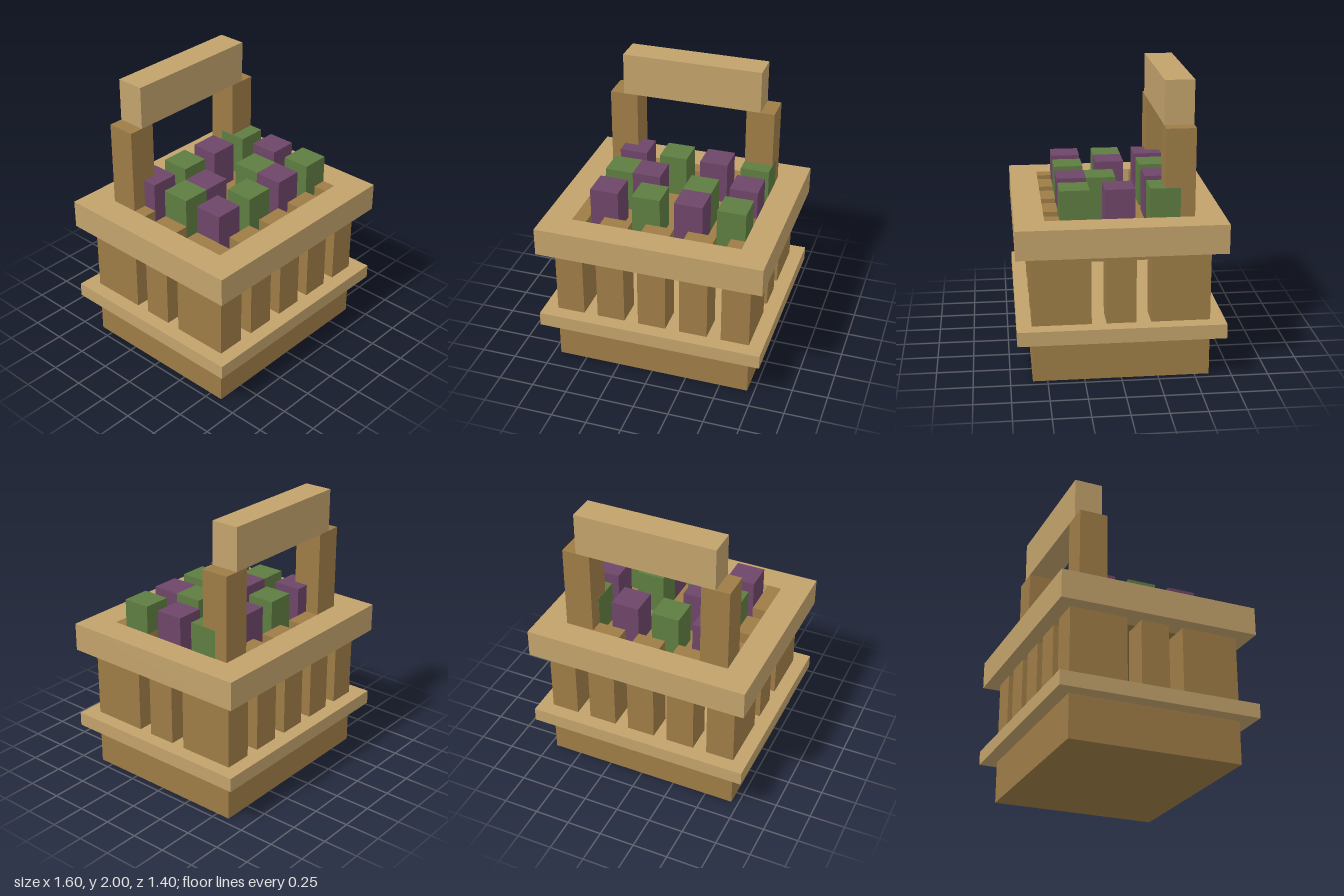
import * as THREE from 'three';

const material = (name, color) => {
  const m = new THREE.MeshStandardMaterial({ color });
  m.name = name;
  return m;
};

export function createModel() {
  const tan = material('light wood', 0xc2a26b);
  const brown = material('dark wood', 0x9e7c46);
  const purple = material('purple fruit', 0x6e4668);
  const green = material('green fruit', 0x5e7d41);
  const model = new THREE.Group();
  model.name = 'basket';

  // box from its minimum and maximum corners
  const box = (name, mat, [x0, y0, z0], [x1, y1, z1]) => {
    const mesh = new THREE.Mesh(new THREE.BoxGeometry(x1 - x0, y1 - y0, z1 - z0), mat);
    mesh.position.set((x0 + x1) / 2, (y0 + y1) / 2, (z0 + z1) / 2);
    mesh.name = name;
    model.add(mesh);
  };

  // solid foot and the band around it
  box('base', brown, [-0.7, 0, -0.6], [0.7, 0.3, 0.6]);
  box('lowerBand', tan, [-0.8, 0.3, -0.7], [0.8, 0.4, 0.7]);

  // slats: tops sit just under the rim surface
  const top = 1.098;
  for (const s of [-1, 1]) {
    const z = s * 0.5;
    for (const x of [-0.6, -0.3, 0, 0.3, 0.6]) {
      box('slat', brown, [x - 0.1, 0.4, z - 0.1], [x + 0.1, top, z + 0.1]);
    }
    const x = s * 0.6;
    for (const zc of [-0.3, 0, 0.3]) {
      box('sideSlat', brown, [x - 0.1, 0.4, zc - 0.1], [x + 0.1, top, zc + 0.1]);
    }
  }

  // inner tray that carries the fruit
  box('tray', brown, [-0.6, 0.9, -0.5], [0.6, 1.0, 0.5]);

  // open rim
  const rimShape = new THREE.Shape([[-0.8, -0.7], [0.8, -0.7], [0.8, 0.7], [-0.8, 0.7]]
    .map(([x, y]) => new THREE.Vector2(x, y)));
  rimShape.holes.push(new THREE.Path([[-0.6, -0.5], [-0.6, 0.5], [0.6, 0.5], [0.6, -0.5]]
    .map(([x, y]) => new THREE.Vector2(x, y))));
  const rimGeometry = new THREE.ExtrudeGeometry(rimShape, { depth: 0.2, bevelEnabled: false });
  rimGeometry.rotateX(-Math.PI / 2);
  const rim = new THREE.Mesh(rimGeometry, tan);
  rim.position.y = 0.9;
  rim.name = 'rim';
  model.add(rim);

  // handle at the back
  for (const s of [-1, 1]) {
    box('handlePost', brown, [s * 0.5 - 0.1, 1.0, -0.5], [s * 0.5 + 0.1, 1.7, -0.3]);
  }
  box('handleBar', tan, [-0.5, 1.7, -0.5], [0.5, 2, -0.3]);

  // fruit blocks: x, z, colour
  const fruit = [
    [-0.4, 0.3, purple], [-0.1, 0.3, green], [0.2, 0.3, purple], [0.5, 0.3, green],
    [-0.4, 0, green], [-0.2, 0, purple], [0.2, 0.1, green], [0.5, 0, purple],
    [-0.4, -0.3, purple], [-0.1, -0.3, green], [0.2, -0.3, purple], [0.5, -0.3, green],
  ];
  const h = 0.1;
  for (const [x, z, mat] of fruit) {
    // slightly larger where a block shares its side with a handle post
    const r = x === 0.5 && z < 0 ? h + 0.002 : h;
    box('fruit', mat, [x - r, 1.0, z - r], [x + r, 1.3, z + r]);
  }
  return model;
}
